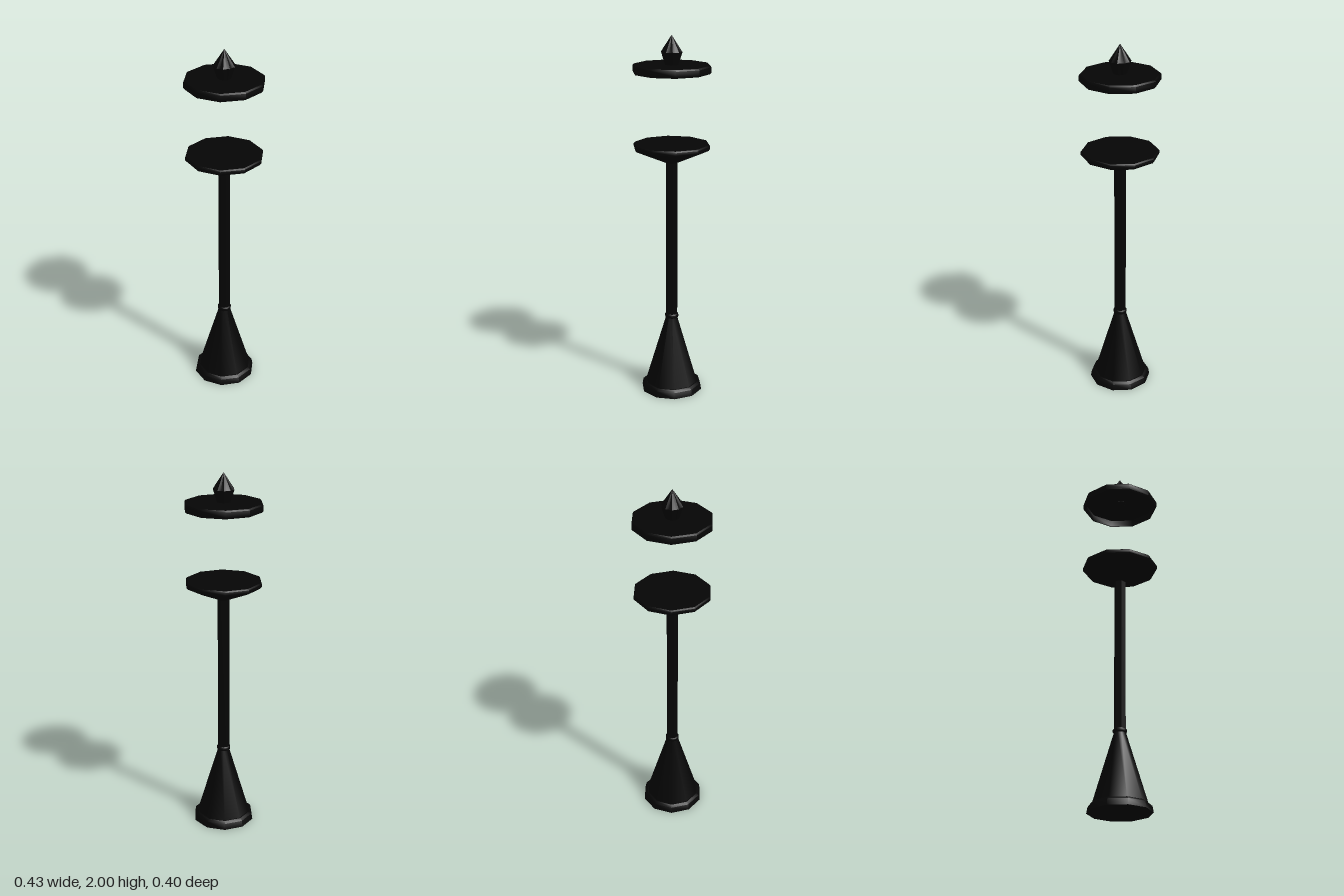
import * as THREE from 'three';
import { toCreasedNormals } from 'three/addons/utils/BufferGeometryUtils.js';

export function createModel() {
  const lamp = new THREE.Group();
  lamp.name = 'streetLamp';
  const iron = new THREE.MeshStandardMaterial({ color: 0x050505 });

  // Turned part from [radius, height] pairs, bottom to top, with a corner on +x
  const turned = (name, profile, sides = 10, flute = 1) => {
    const points = profile.map(([r, y]) => new THREE.Vector2(r, y));
    const geometry = new THREE.LatheGeometry(points, sides, Math.PI / 2);
    // Draw in every second corner to make flutes
    const pos = geometry.attributes.position;
    for (let i = 0; i < pos.count; i++) {
      const column = Math.floor(i / points.length);
      const s = column % 2 ? flute : 1;
      pos.setXYZ(i, pos.getX(i) * s, pos.getY(i), pos.getZ(i) * s);
    }
    const mesh = new THREE.Mesh(toCreasedNormals(geometry, 0.7), iron);
    mesh.name = name;
    lamp.add(mesh);
  };

  // Stepped foot
  turned('foot', [[0, 0], [0.172, 0], [0.166, 0.034], [0.152, 0.046], [0, 0.046]]);

  // Tapered pedestal
  turned('pedestal', [[0.147, 0.044], [0.032, 0.43], [0, 0.43]]);

  // Collar where the pole meets the pedestal
  turned('collar', [[0, 0.427], [0.033, 0.427], [0.038, 0.433], [0.038, 0.445], [0.033, 0.451], [0, 0.451]]);

  // Slim six-sided pole
  turned('pole', [[0.032, 0.43], [0.032, 1.34]], 6);

  // Flared lantern tray
  turned('tray', [[0, 1.318], [0.031, 1.318], [0.202, 1.392], [0.21, 1.402], [0.21, 1.416], [0.204, 1.423], [0, 1.423]]);

  // Lantern lid, hollow underneath with a thin rim
  turned('lid', [[0, 1.838], [0.2, 1.838], [0.2, 1.801], [0.206, 1.801], [0.2125, 1.809],
    [0.2125, 1.837], [0.206, 1.845], [0, 1.845]]);

  // Fluted pointed finial, its foot just showing inside the lid
  turned('finial', [[0, 1.836], [0.033, 1.836], [0.058, 1.912], [0, 2]], 20, 0.88);

  return lamp;
}
